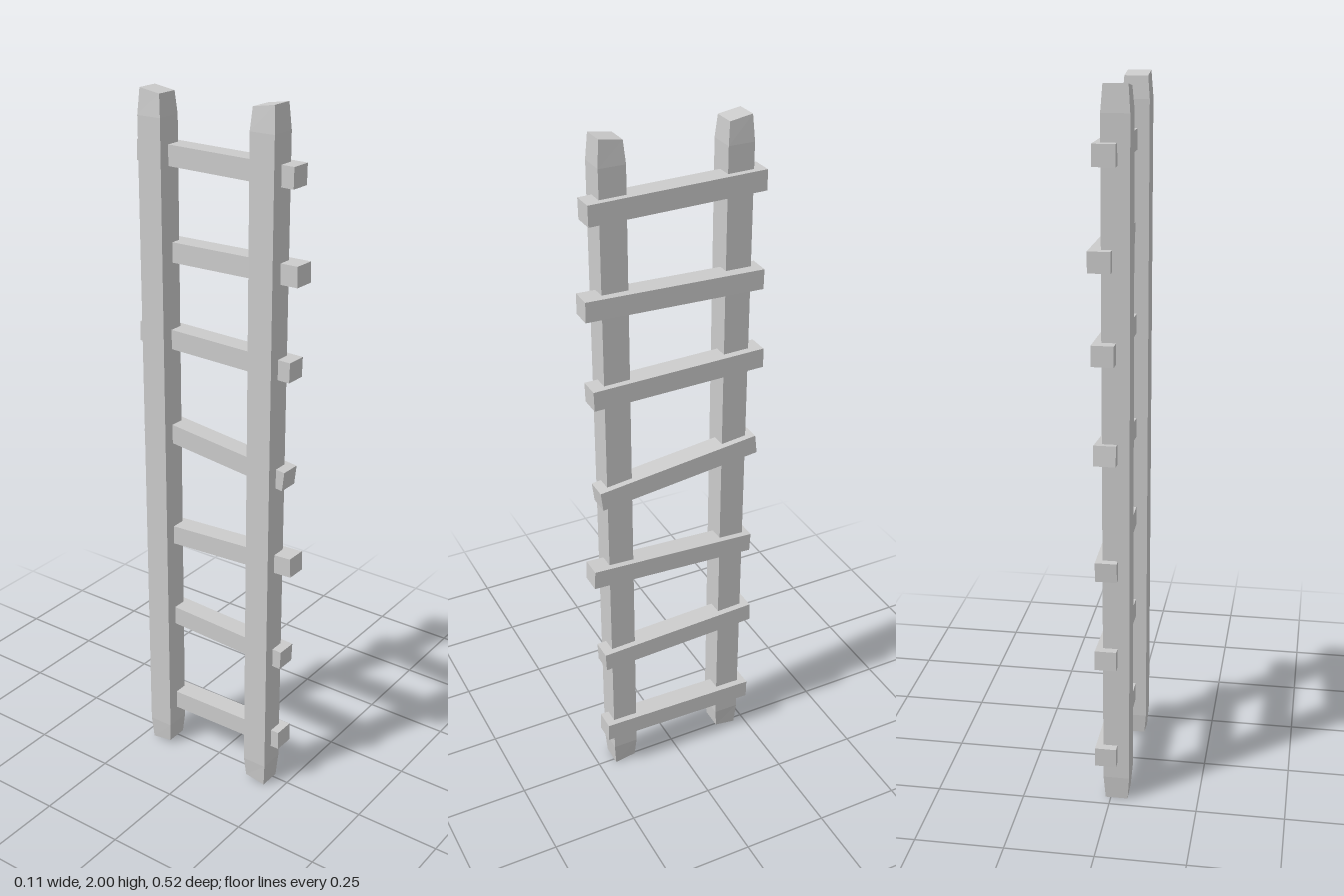
import * as THREE from 'three';

const material = new THREE.MeshStandardMaterial({ color: 0xcccccc, flatShading: true });

// Upright post whose two ends taper and are cut slightly askew
function makeRail(name, z, tilt) {
  const width = 0.074, endScale = 0.86, bevel = 0.07;
  const geo = new THREE.BoxGeometry(width, 2, width, 1, 3, 1);
  const p = geo.attributes.position;
  for (let i = 0; i < p.count; i++) {
    const x = p.getX(i), y = p.getY(i), zz = p.getZ(i);
    if (Math.abs(y) > 0.9) {
      const cut = 0.005 * (1 - tilt * Math.sign(zz));
      p.setXYZ(i, x * endScale, y - Math.sign(y) * cut, zz * endScale);
    } else {
      p.setY(i, Math.sign(y) * (1 - bevel));
    }
  }
  geo.computeVertexNormals();
  const rail = new THREE.Mesh(geo, material);
  rail.name = name;
  rail.position.set(-0.017, 1, z);
  return rail;
}

// Square bar running between two end points
function makeRung(name, from, to) {
  const length = from.distanceTo(to);
  const rung = new THREE.Mesh(new THREE.BoxGeometry(0.06, 0.056, length), material);
  rung.name = name;
  rung.position.copy(from).add(to).multiplyScalar(0.5);
  rung.lookAt(from);
  return rung;
}

export function createModel() {
  const ladder = new THREE.Group();
  ladder.name = 'ladder';

  ladder.add(makeRail('frontRail', 0.167, 1), makeRail('backRail', -0.185, -1));

  // Unevenly nailed rungs: front x, y, z then back x, y, z
  const rungs = [
    [0.008, 0.155, 0.23, 0.010, 0.147, -0.245],
    [0.008, 0.433, 0.231, 0.009, 0.455, -0.248],
    [0.008, 0.743, 0.257, 0.008, 0.718, -0.24],
    [0.008, 0.999, 0.228, 0.009, 1.055, -0.247],
    [0.008, 1.315, 0.241, 0.012, 1.328, -0.258],
    [0.011, 1.575, 0.257, 0.022, 1.567, -0.245],
    [0.008, 1.824, 0.241, 0.008, 1.832, -0.252],
  ];
  rungs.forEach(([x0, y0, z0, x1, y1, z1], i) => {
    ladder.add(makeRung(`rung${i + 1}`, new THREE.Vector3(x0, y0, z0), new THREE.Vector3(x1, y1, z1)));
  });
  return ladder;
}
